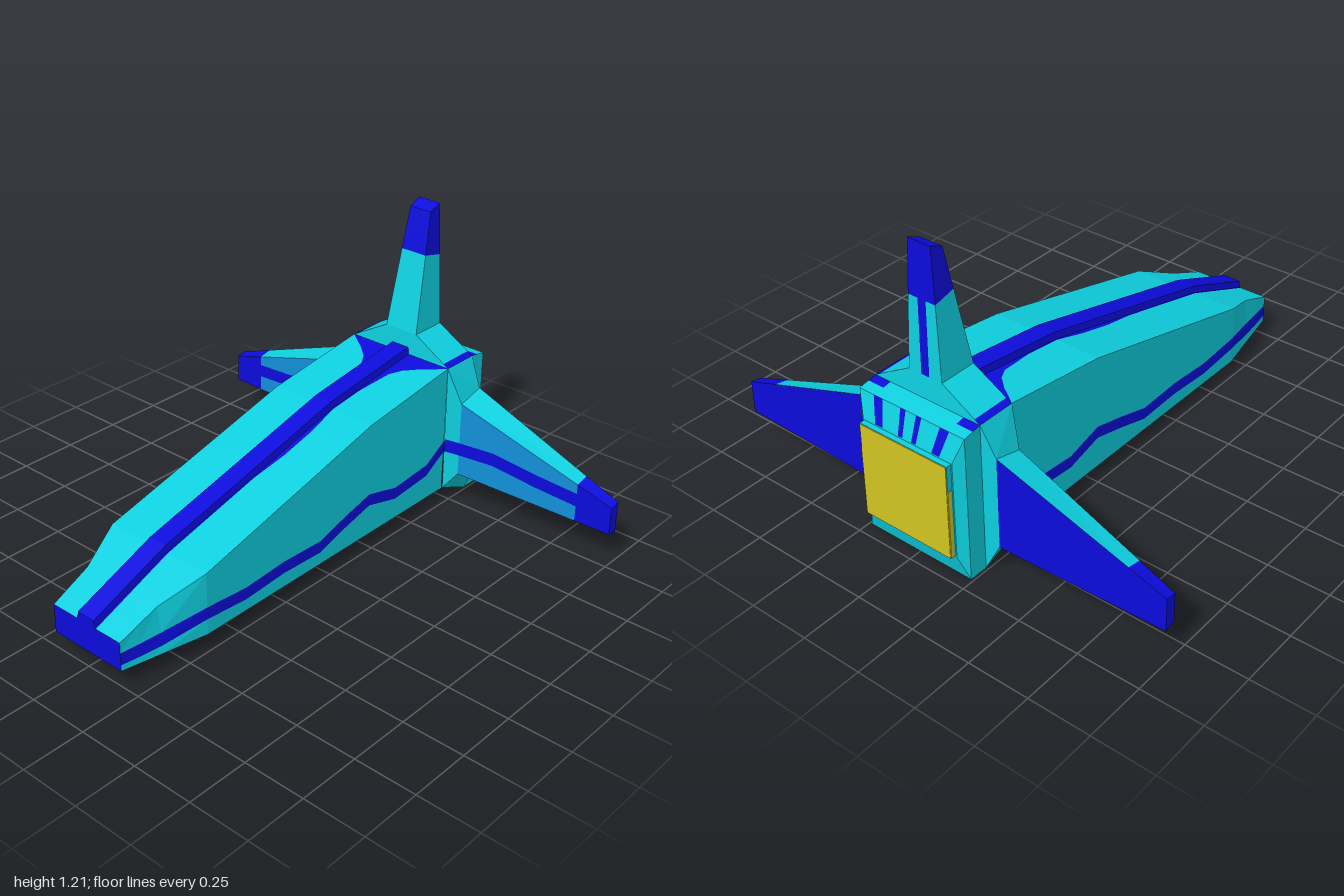
import * as THREE from 'three';

const mat = (name, color) => Object.assign(new THREE.MeshStandardMaterial({ color }), { name });

// Piecewise-linear lookup in a table of [key, value] pairs with falling keys.
function at(table, k) {
  for (let i = 1; i < table.length; i++) {
    const [k0, v0] = table[i - 1], [k1, v1] = table[i];
    if (k >= k1) return v0 + (v1 - v0) * (k0 - k) / (k0 - k1);
  }
  return table[table.length - 1][1];
}
const mix = (a, b, t) => a.map((v, i) => v + (b[i] - v) * t);
const mirror = (faces) => faces.concat(
  faces.map(([m, ...c]) => [m, ...c.map(([x, y, z]) => [-x, y, z])]));

// Builds a convex part from flat faces [material, ...corners], turned outward, one mesh per colour.
function part(name, faces) {
  const group = new THREE.Group();
  group.name = name;
  const centre = new THREE.Box3().setFromPoints(
    faces.flatMap(([, ...c]) => c.map((p) => new THREE.Vector3(...p)))).getCenter(new THREE.Vector3());
  const byMat = new Map();
  for (const [m, ...c] of faces) {
    if (!byMat.has(m)) byMat.set(m, []);
    for (let i = 1; i < c.length - 1; i++) {
      let tri = [c[0], c[i], c[i + 1]].map((p) => new THREE.Vector3(...p));
      const n = tri[1].clone().sub(tri[0]).cross(tri[2].clone().sub(tri[0]));
      if (n.dot(tri[0].clone().sub(centre)) < 0) tri.reverse();
      byMat.get(m).push(...tri);
    }
  }
  for (const [m, pts] of byMat) {
    const geo = new THREE.BufferGeometry().setFromPoints(pts);
    geo.computeVertexNormals();
    const mesh = new THREE.Mesh(geo, m);
    mesh.name = `${name} ${m.name}`;
    group.add(mesh);
  }
  return group;
}

export function createModel() {
  const cyan = mat('cyan', 0x0ed0e0);
  const navy = mat('deep blue', 0x0c0cdc);
  const blue = mat('wing blue', 0x1290d8);
  const yellow = mat('yellow', 0xd2c520);
  const model = new THREE.Group();
  model.name = 'spaceship';

  // Hull: lofted along z, with the wavy side stripe and deck paint as bands of the loft
  const floorY = 0.065;
  const deckY = [[1, 0.183], [0.65, 0.322], [-0.24, 0.547], [-0.71, 0.61]];
  const deckW = [[1, 0.17], [0.83, 0.18], [0.65, 0.24], [-0.71, 0.24]];
  const floorW = [[1, 0.17], [0.65, 0.24], [-0.71, 0.24]];
  const stripeY = [[1, 0.115], [0.85, 0.118], [0.65, 0.155], [0.45, 0.138], [0.25, 0.15], [0.05, 0.142],
    [-0.1, 0.185], [-0.23, 0.222], [-0.4, 0.178], [-0.6, 0.195], [-0.71, 0.26]];
  const paintW = [[1, 0.05], [0.2, 0.048], [0.05, 0.062], [-0.1, 0.062], [-0.2, 0.048], [-0.4, 0.05],
    [-0.55, 0.07], [-0.62, 0.11], [-0.68, 0.2], [-0.71, 0.24]];
  const stations = [1, 0.92, 0.83, 0.65, 0.45, 0.25, 0.2, 0.05, -0.1, -0.24, -0.4, -0.55, -0.6, -0.65, -0.68, -0.71];
  const ring = (z) => {
    const top = [at(deckW, z), at(deckY, z), z], low = [at(floorW, z), floorY, z];
    const t = (y) => (y - floorY) / (top[1] - floorY);
    const y = at(stripeY, z);
    return [[0, floorY, z], low, mix(low, top, t(y - 0.025)), mix(low, top, t(y + 0.025)), top,
      [at(paintW, z), top[1], z], [0, top[1], z]];
  };
  const bands = [cyan, cyan, navy, cyan, cyan, navy];
  const hull = [];
  for (let i = 1; i < stations.length; i++) {
    const a = ring(stations[i - 1]), b = ring(stations[i]);
    bands.forEach((m, j) => hull.push([m, a[j], a[j + 1], b[j + 1], b[j]]));
  }
  const nose = ring(1);
  hull.push([navy, nose[0], nose[1], nose[4], nose[6]]);
  model.add(part('hull', mirror(hull)));

  // Raised spine along the deck
  const spine = [];
  const spineRing = (z) => {
    const y = at(deckY, z);
    return [[0.045, y - 0.01, z], [0.04, y + 0.03, z], [0, y + 0.03, z]];
  };
  deckY.slice(1).forEach(([z], i) => {
    const a = spineRing(deckY[i][0]), b = spineRing(z);
    for (let j = 0; j < 2; j++) spine.push([navy, a[j], a[j + 1], b[j + 1], b[j]]);
  });
  const [s0, s1, s2] = spineRing(1);
  spine.push([navy, s0, s1, s2, [0, s0[1], 1]]);
  model.add(part('spine', mirror(spine)));

  // Wings with their flared roots
  const inner = { ft: [0.24, 0.61, -0.71], fb: [0.24, floorY, -0.715], bt: [0.24, 0.61, -0.87], bb: [0.24, 0, -0.87] };
  const root = { ft: [0.295, 0.46, -0.74], fb: [0.295, 0.14, -0.74], bt: [0.295, 0.49, -0.857], bb: [0.295, 0.112, -0.857] };
  const tip = { ft: [0.98, 0.238, -0.787], fb: [0.98, 0.12, -0.787], bt: [0.98, 0.245, -0.832], bb: [0.98, 0.107, -0.832] };
  const wingStripe = [[0.98, 0.21], [0.83, 0.218], [0.65, 0.235], [0.45, 0.262], [0.295, 0.255], [0.24, 0.265]].map(
    ([x, y]) => [x, y]);
  // Front face between two sections, with a stripe across its middle
  const striped = (m, A, B) => {
    const cut = (S) => {
      const y = at(wingStripe, S.ft[0]);
      const t = (v) => (v - S.fb[1]) / (S.ft[1] - S.fb[1]);
      return [S.fb, mix(S.fb, S.ft, t(y - 0.028)), mix(S.fb, S.ft, t(y + 0.028)), S.ft];
    };
    const a = cut(A), b = cut(B);
    return [m, navy, m].map((c, j) => [c, a[j], a[j + 1], b[j + 1], b[j]]);
  };
  const section = (x) => Object.fromEntries(Object.keys(root).map(
    (k) => [k, mix(root[k], tip[k], (x - 0.295) / 0.685)]));
  const rootFaces = [
    ...striped(cyan, inner, root),
    [cyan, inner.ft, root.ft, root.bt, inner.bt],
    [cyan, inner.bt, root.bt, root.bb, inner.bb],
    [cyan, inner.bb, root.bb, root.fb, inner.fb],
  ];
  const xs = [0.295, 0.45, 0.65, 0.83];
  const end = section(0.83);
  const wingFaces = [
    ...xs.slice(1).flatMap((x, i) => striped(blue, section(xs[i]), section(x))),
    [navy, end.ft, end.fb, tip.fb, tip.ft],
    [cyan, root.ft, end.ft, end.bt, root.bt],
    [navy, end.ft, tip.ft, tip.bt, end.bt],
    [navy, root.bt, tip.bt, tip.bb, root.bb],
    [yellow, root.fb, tip.fb, tip.bb, root.bb],
    [navy, tip.ft, tip.fb, tip.bb, tip.bt],
  ];
  for (const [side, s] of [['left', 1], ['right', -1]]) {
    const flip = (faces) => faces.map(([m, ...c]) => [m, ...c.map(([x, y, z]) => [s * x, y, z])]);
    model.add(part(`${side} wing root`, flip(rootFaces)), part(`${side} wing`, flip(wingFaces)));
  }

  // Flared base of the tail fin, with a painted lower edge
  const baseF = [0.24, 0.61, -0.71], baseB = [0.24, 0.61, -0.87];
  const finF = [0.075, 0.705, -0.712], finB = [0.075, 0.705, -0.868];
  const edgeF = mix(baseF, finF, 0.14), edgeB = mix(baseB, finB, 0.14);
  const mid = (p) => [0, p[1], p[2]];
  model.add(part('fin base', mirror([
    [navy, baseF, edgeF, edgeB, baseB],
    [cyan, edgeF, finF, finB, edgeB],
    [cyan, baseF, finF, mid(finF), mid(baseF)],
    [cyan, baseB, finB, mid(finB), mid(baseB)],
  ])));

  // Tail fin with painted tip and a stripe up its back
  const tipF = [0.05, 1.19, -0.805], tipB = [0.05, 1.213, -0.86];
  const cutF = mix(finF, tipF, 0.65), cutB = mix(finB, tipB, 0.58);
  const thin = (p) => [0.018, p[1], p[2]];
  model.add(part('tail fin', mirror([
    [cyan, finF, cutF, cutB, finB],
    [navy, cutF, tipF, tipB, cutB],
    [cyan, finF, cutF, mid(cutF), mid(finF)],
    [navy, cutF, tipF, mid(tipF), mid(cutF)],
    [cyan, finB, cutB, thin(cutB), thin(finB)],
    [navy, thin(finB), thin(cutB), mid(cutB), mid(finB)],
    [navy, cutB, tipB, mid(tipB), mid(cutB)],
    [navy, tipF, tipB, mid(tipB), mid(tipF)],
  ])));

  // Engine block: sloped belly, square section and bevelled back
  const t0 = [0.24, 0.61, -0.87], b0 = [0.24, 0, -0.87];
  const t1 = [0.24, 0.597, -0.947], b1 = [0.24, 0, -0.947];
  const t2 = [0.205, 0.5, -0.975], b2 = [0.205, 0.1, -0.975];
  const belly = [0.24, floorY, -0.715];
  const block = [
    [cyan, belly, b0, mid(b0), mid(belly)],
    [cyan, t0, t1, b1, b0],
    [cyan, b0, b1, mid(b1), mid(b0)],
    [cyan, t1, t2, b2, b1],
    [cyan, b1, b2, mid(b2), mid(b1)],
    [cyan, t2, b2, mid(b2), mid(t2)],
  ];
  // Painted patches on the top and its rear bevel
  const across = (p, f) => [p[0] * f, p[1], p[2]];
  const patches = (a, b, cuts) => cuts.slice(1).forEach((f, i) => block.push(
    [i % 2 ? navy : cyan, across(a, cuts[i]), across(a, f), across(b, f), across(b, cuts[i])]));
  const tm = mix(t0, t1, 0.45);
  patches(t0, tm, [0, 0.7, 1]);
  patches(tm, t1, [0, 1]);
  patches(t1, t2, [0, 0.1, 0.2, 0.55, 0.72, 1]);
  model.add(part('engine block', mirror(block)));

  // Engine plate with a glowing rear face
  const box = (name, m, w, h, d, x, y, z) => {
    const mesh = new THREE.Mesh(new THREE.BoxGeometry(w, h, d), m);
    mesh.name = name;
    mesh.position.set(x, y, z);
    model.add(mesh);
  };
  box('engine plate', cyan, 0.4, 0.39, 0.025, 0, 0.3, -0.9845);
  box('engine glow', yellow, 0.396, 0.386, 0.004, 0, 0.3, -0.998);
  for (const s of [1, -1]) box('engine side glow', yellow, 0.004, 0.28, 0.016, s * 0.2, 0.25, -0.99);
  return model;
}
